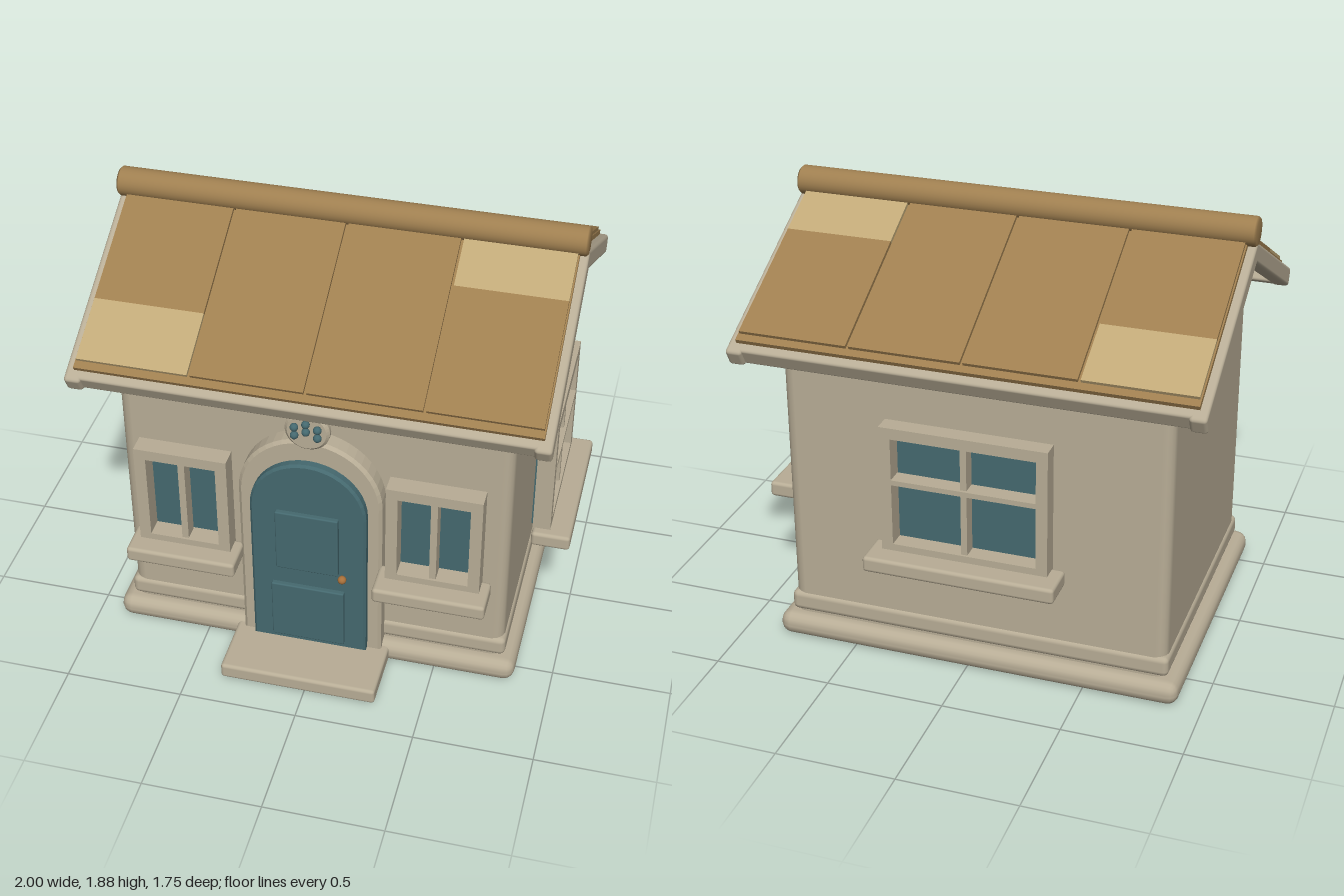
import * as THREE from 'three';
import { RoundedBoxGeometry } from 'three/addons/geometries/RoundedBoxGeometry.js';

const mat = (name, color) => {
  const m = new THREE.MeshStandardMaterial({ color });
  m.name = name;
  return m;
};

export function createModel() {
  const model = new THREE.Group();
  model.name = 'cottage';
  const cream = mat('cream plaster', 0xb8ad96);
  const brown = mat('roof brown', 0x9f7f50);
  const tan = mat('light tan', 0xc1a978);
  const teal = mat('teal', 0x45696f);
  const copper = mat('copper', 0xa8703a);

  const XC = -0.027, ZC = -0.06; // centre of the house body

  const add = (parent, name, geometry, material, x = 0, y = 0, z = 0) => {
    const mesh = new THREE.Mesh(geometry, material);
    mesh.name = name;
    mesh.position.set(x, y, z);
    parent.add(mesh);
    return mesh;
  };
  // Box given by its limits, with optionally rounded edges
  const box = (parent, name, material, [x0, x1], [y0, y1], [z0, z1], r = 0) => {
    const s = [x1 - x0, y1 - y0, z1 - z0];
    const g = r ? new RoundedBoxGeometry(...s, 2, r) : new THREE.BoxGeometry(...s);
    return add(parent, name, g, material, (x0 + x1) / 2, (y0 + y1) / 2, (z0 + z1) / 2);
  };
  // Extrusion from z0 to z1 whose bevel stays inside the outline
  const plate = (parent, name, material, shape, z0, z1, b, curveSegments = 12) => {
    const g = new THREE.ExtrudeGeometry(shape, {
      depth: z1 - z0 - 2 * b, bevelEnabled: b > 0, bevelSize: b, bevelThickness: b,
      bevelOffset: -b, bevelSegments: 1, curveSegments,
    });
    return add(parent, name, g, material, 0, 0, z0 + b);
  };
  const rect = (Type, x0, x1, y0, y1) => {
    const p = new Type();
    p.moveTo(x0, y0).lineTo(x1, y0).lineTo(x1, y1).lineTo(x0, y1).closePath();
    return p;
  };
  const archShape = (cx, r, y0, top) => {
    const s = new THREE.Shape();
    s.moveTo(cx - r, y0).lineTo(cx + r, y0).lineTo(cx + r, top - r);
    s.absarc(cx, top - r, r, 0, Math.PI, false);
    s.closePath();
    return s;
  };

  // Body
  box(model, 'plinth', cream, [-0.9, 0.845], [0, 0.105], [-0.73, 0.61], 0.048);
  box(model, 'baseBand', cream, [-0.85, 0.797], [0.11, 0.2], [-0.685, 0.565], 0.025);
  box(model, 'walls', cream, [-0.84, 0.787], [0.04, 1.37], [-0.675, 0.555], 0.05);
  const gable = new THREE.Shape();
  gable.moveTo(-0.625, 1.315).lineTo(0.625, 1.315).lineTo(0.625, 1.4);
  gable.lineTo(0, 1.745).lineTo(-0.625, 1.4).closePath();
  const gableMesh = plate(model, 'gable', cream, gable, 0, 1.635, 0);
  gableMesh.rotation.y = -Math.PI / 2;
  gableMesh.position.set(0.79, 0, ZC);

  // Roof: boxes placed by distance t down the slope and height n above it
  const pitch = Math.atan(0.52), cos = Math.cos(pitch), sin = Math.sin(pitch), apex = 1.775;
  const onSlope = (name, material, s, x0, x1, t0, t1, n0, n1, r = 0) => {
    const mesh = box(model, name, material, [x0, x1], [n0, n1], [t0, t1], r);
    const t = (t0 + t1) / 2, n = (n0 + n1) / 2;
    mesh.position.y = apex - t * sin + n * cos;
    mesh.position.z = ZC + s * (t * cos + n * sin);
    mesh.rotation.x = s * pitch;
  };
  const seams = [-0.96, -0.493, -0.025, 0.445, 0.91];
  const END = 0.805;
  for (const s of [1, -1]) {
    onSlope('roofSlab', brown, s, -0.96, 0.91, 0, 0.838, -0.02, 0.02);
    for (let i = 0; i < 4; i++) {
      const x0 = seams[i] + 0.006, x1 = seams[i + 1] - 0.006;
      const split = [0.53, 0, 0, 0.255][i];
      const colors = i === 0 ? [brown, tan] : [tan, brown];
      if (split) onSlope('roofPanelUpper', colors[0], s, x0, x1, 0, split, 0.018, 0.035);
      onSlope('roofPanel', colors[1], s, x0, x1, split, END, 0.018, 0.035);
    }
    onSlope('eaveBoard', cream, s, -0.95, 0.9, 0.8, 0.875, -0.08, 0, 0.012);
    for (const x of [-0.995, 0.875])
      onSlope('bargeBoard', cream, s, x, x + 0.07, -0.01, 0.888, -0.082, 0, 0.015);
  }
  const ridgeProfile = [[0, -0.969], [0.053, -0.969], [0.061, -0.96], [0.061, 0.96], [0.053, 0.969], [0, 0.969]]
    .map(([r, y]) => new THREE.Vector2(r, y));
  const ridge = add(model, 'ridgePole', new THREE.LatheGeometry(ridgeProfile, 32), brown, XC, 1.817, ZC);
  ridge.rotation.z = Math.PI / 2;

  // Windows face local +z, with the back of the frame at z = 0
  const addWindow = (name, { w, y1, sill, sillDepth, bar, depth, cross }) => {
    const g = new THREE.Group();
    g.name = name;
    const h = w / 2, b = 0.048, y0 = 0.54;
    const frame = rect(THREE.Shape, -h, h, y0, y1);
    frame.holes.push(rect(THREE.Path, -h + b, h - b, 0.585, y1 - b));
    plate(g, 'windowFrame', cream, frame, 0, depth, 0);
    box(g, 'windowPost', cream, [-bar / 2, bar / 2], [0.58, y1 - b], [0.005, depth - 0.01]);
    if (cross) box(g, 'windowCrossbar', cream, [-h + b, h - b], [0.855, 0.877], [0.005, depth + 0.002]);
    box(g, 'windowGlass', teal, [-h + 0.025, h - 0.025], [0.555, y1 - 0.025], [-0.009, 0]);
    box(g, 'windowSill', cream, [-sill / 2, sill / 2], [0.487, 0.555], [0, sillDepth], 0.015);
    model.add(g);
    return g;
  };
  for (const x of [-0.55, 0.497]) {
    addWindow('frontWindow', { w: 0.39, y1: 1.027, sill: 0.466, sillDepth: 0.163, bar: 0.028, depth: 0.08 })
      .position.set(x, 0, 0.6);
  }
  const large = { y1: 1.106, sillDepth: 0.165, bar: 0.026, depth: 0.075, cross: true };
  const side = addWindow('sideWindow', { ...large, w: 0.61, sill: 0.69 });
  side.position.set(0.835, 0, -0.08);
  side.rotation.y = Math.PI / 2;
  const back = addWindow('backWindow', { ...large, w: 0.7, sill: 0.806 });
  back.position.set(-0.024, 0, -0.715);
  back.rotation.y = Math.PI;

  // Doorway
  const DX = -0.024;
  plate(model, 'doorSurround', cream, archShape(DX, 0.3, 0.08, 1.165), 0.5, 0.63, 0.013);
  plate(model, 'door', teal, archShape(DX, 0.243, 0.1, 1.067), 0.615, 0.668, 0.01, 10);
  box(model, 'doorPanelUpper', teal, [-0.157, 0.107], [0.522, 0.82], [0.66, 0.688], 0.006);
  box(model, 'doorPanelLower', teal, [-0.18, 0.13], [0.14, 0.428], [0.66, 0.688], 0.006);
  add(model, 'doorKnob', new THREE.SphereGeometry(0.018, 20, 14), copper, 0.125, 0.513, 0.69);
  box(model, 'doorStep', cream, [-0.36, 0.307], [0.015, 0.085], [0.5, 0.875], 0.015);

  // Round medallion with beads above the door
  const disc = new THREE.Shape();
  disc.absarc(DX, 1.23, 0.092, 0, Math.PI * 2, false);
  plate(model, 'medallion', cream, disc, 0.612, 0.655, 0.012, 20);
  const beadGeometry = new THREE.SphereGeometry(0.017, 16, 12);
  for (const [dx, y] of [[-0.047, 1.257], [-0.047, 1.218], [0, 1.277], [0, 1.24], [0.047, 1.257], [0.047, 1.218]])
    add(model, 'medallionBead', beadGeometry, teal, DX + dx, y, 0.667);

  return model;
}
